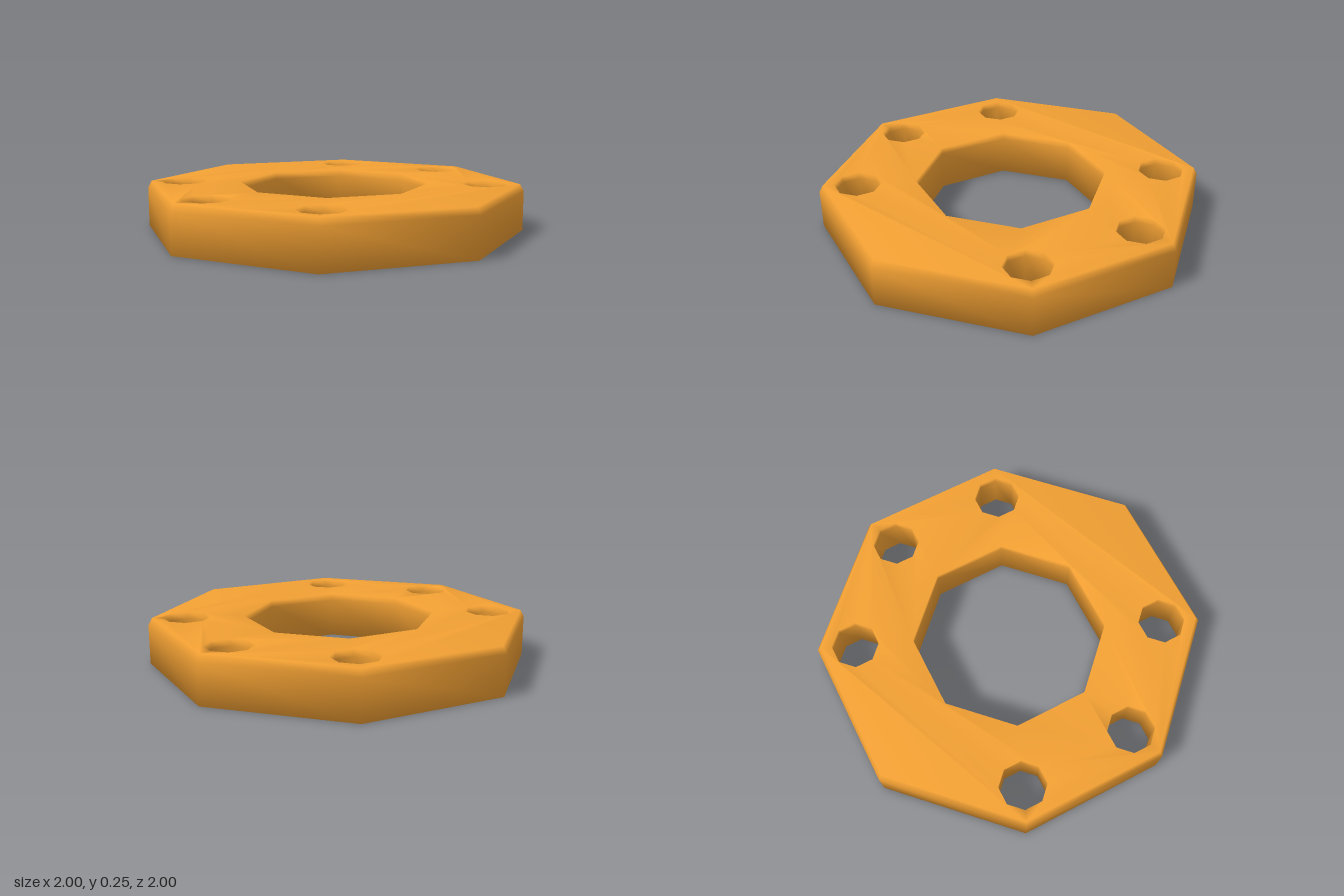
import * as THREE from 'three';
import { mergeVertices } from 'three/addons/utils/BufferGeometryUtils.js';

const HEIGHT = 0.245, CHAMFER_Y = 0.208, CHAMFER_SCALE = 0.98;

// Points of an octagon with corners on its axes
function octagon(radius, cx = 0, cy = 0) {
  return Array.from({ length: 8 }, (_, i) => {
    const a = (i * Math.PI) / 4;
    return new THREE.Vector2(cx + radius * Math.cos(a), cy + radius * Math.sin(a));
  });
}

export function createModel() {
  const group = new THREE.Group();
  group.name = 'boltFlange';

  // Octagonal plate with a central opening
  const plate = new THREE.Shape(octagon(1));
  plate.holes.push(new THREE.Path(octagon(0.5)));

  // Three bolt holes on each side
  for (const side of [0, Math.PI]) {
    for (const turn of [-1, 0, 1]) {
      const a = side + (turn * Math.PI) / 4;
      plate.holes.push(new THREE.Path(octagon(0.122, 0.8 * Math.cos(a), 0.8 * Math.sin(a))));
    }
  }

  let geometry = new THREE.ExtrudeGeometry(plate, { depth: HEIGHT, steps: 2, bevelEnabled: false });
  geometry.rotateX(-Math.PI / 2);

  // Middle level becomes the foot of the chamfer; the top rim is drawn in
  const p = geometry.attributes.position;
  for (let i = 0; i < p.count; i++) {
    const y = p.getY(i);
    const onRim = Math.hypot(p.getX(i), p.getZ(i)) > 0.99;
    if (Math.abs(y - HEIGHT / 2) < 0.01) p.setY(i, CHAMFER_Y);
    else if (y > HEIGHT / 2 && onRim) {
      p.setX(i, p.getX(i) * CHAMFER_SCALE);
      p.setZ(i, p.getZ(i) * CHAMFER_SCALE);
    }
  }

  // Shared corners give smooth shading all round
  geometry.deleteAttribute('normal');
  geometry.deleteAttribute('uv');
  geometry = mergeVertices(geometry, 1e-4);
  geometry.computeVertexNormals();

  const mesh = new THREE.Mesh(geometry, new THREE.MeshStandardMaterial({ color: 0xf2a033 }));
  mesh.name = 'flangePlate';
  group.add(mesh);
  return group;
}
